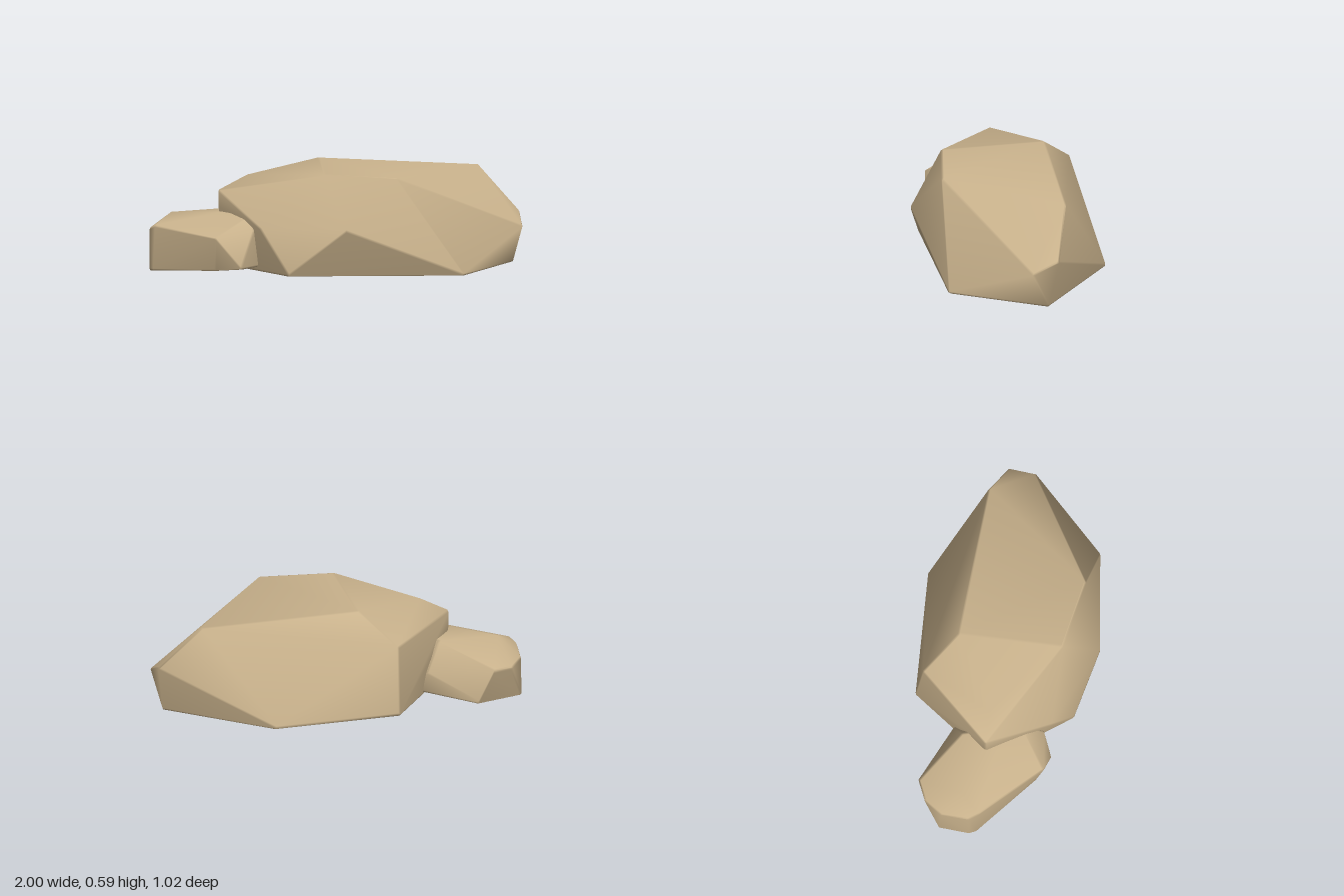
import * as THREE from 'three';
import { ConvexGeometry } from 'three/addons/geometries/ConvexGeometry.js';
import { mergeVertices } from 'three/addons/utils/BufferGeometryUtils.js';

const sandstone = new THREE.MeshStandardMaterial({ color: 0xc9b28c });
sandstone.name = 'sandstone';

// Hull of the corner points, with every corner and edge slightly rounded
function makeRock(name, corners, radius) {
  const ico = new THREE.IcosahedronGeometry(radius, 0).getAttribute('position');
  const centre = new THREE.Vector3();
  const points = corners.map(c => new THREE.Vector3(...c));
  points.forEach(p => centre.addScaledVector(p, 1 / points.length));
  const cloud = [];
  for (const p of points) {
    // Pull the corner in so that the rounding stays inside the outline
    for (const axis of ['x', 'y', 'z']) {
      const d = centre[axis] - p[axis];
      p[axis] += Math.sign(d) * Math.min(Math.abs(d), radius * 0.85);
    }
    for (let i = 0; i < ico.count; i++) {
      cloud.push(new THREE.Vector3().fromBufferAttribute(ico, i).add(p));
    }
  }
  let geometry = new ConvexGeometry(cloud);
  // Area-weighted normals keep the big facets flat and the bevels soft
  geometry.deleteAttribute('normal');
  geometry = mergeVertices(geometry, 1e-4);
  geometry.computeVertexNormals();
  const mesh = new THREE.Mesh(geometry, sandstone);
  mesh.name = name;
  return mesh;
}

export function createModel() {
  const group = new THREE.Group();
  group.name = 'rocks';

  group.add(makeRock('largeRock', [
    // flat base
    [0.95, 0.04, -0.15], [0.4, 0.04, -0.51], [-0.3, 0.04, -0.43],
    [-0.58, 0.04, 0.05], [-0.25, 0.04, 0.43], [0.7, 0.04, 0.37],
    // middle
    [0.06, 0.3, 0.505], [1.0, 0.23, -0.07], [0.98, 0.3, -0.2],
    [-0.3, 0.43, -0.39], [-0.63, 0.45, 0.04], [-0.63, 0.37, 0.04],
    [-0.4, 0.27, 0.34],
    // top
    [-0.48, 0.53, 0.03], [-0.11, 0.585, -0.24], [-0.06, 0.58, 0.33],
    [0.35, 0.567, 0.37], [0.76, 0.55, -0.26],
  ], 0.014));

  group.add(makeRock('smallRock', [
    // tilted base
    [-1, 0.005, 0], [-1, 0, -0.15], [-0.76, 0.02, -0.28],
    [-0.46, 0.06, -0.17], [-0.41, 0.067, 0.27], [-0.49, 0.065, 0.36],
    [-0.62, 0.05, 0.31], [-0.98, 0.01, 0.06],
    // middle
    [-0.48, 0.16, -0.18], [-0.84, 0.22, -0.295], [-0.94, 0.21, -0.24],
    [-1, 0.24, 0], [-1, 0.22, -0.14], [-0.97, 0.26, 0.07], [-0.62, 0.24, 0.35],
    // top
    [-0.89, 0.315, -0.06], [-0.55, 0.33, -0.12], [-0.6, 0.335, 0.1],
    [-0.44, 0.338, 0.2], [-0.43, 0.27, 0.31],
  ], 0.014));

  return group;
}
